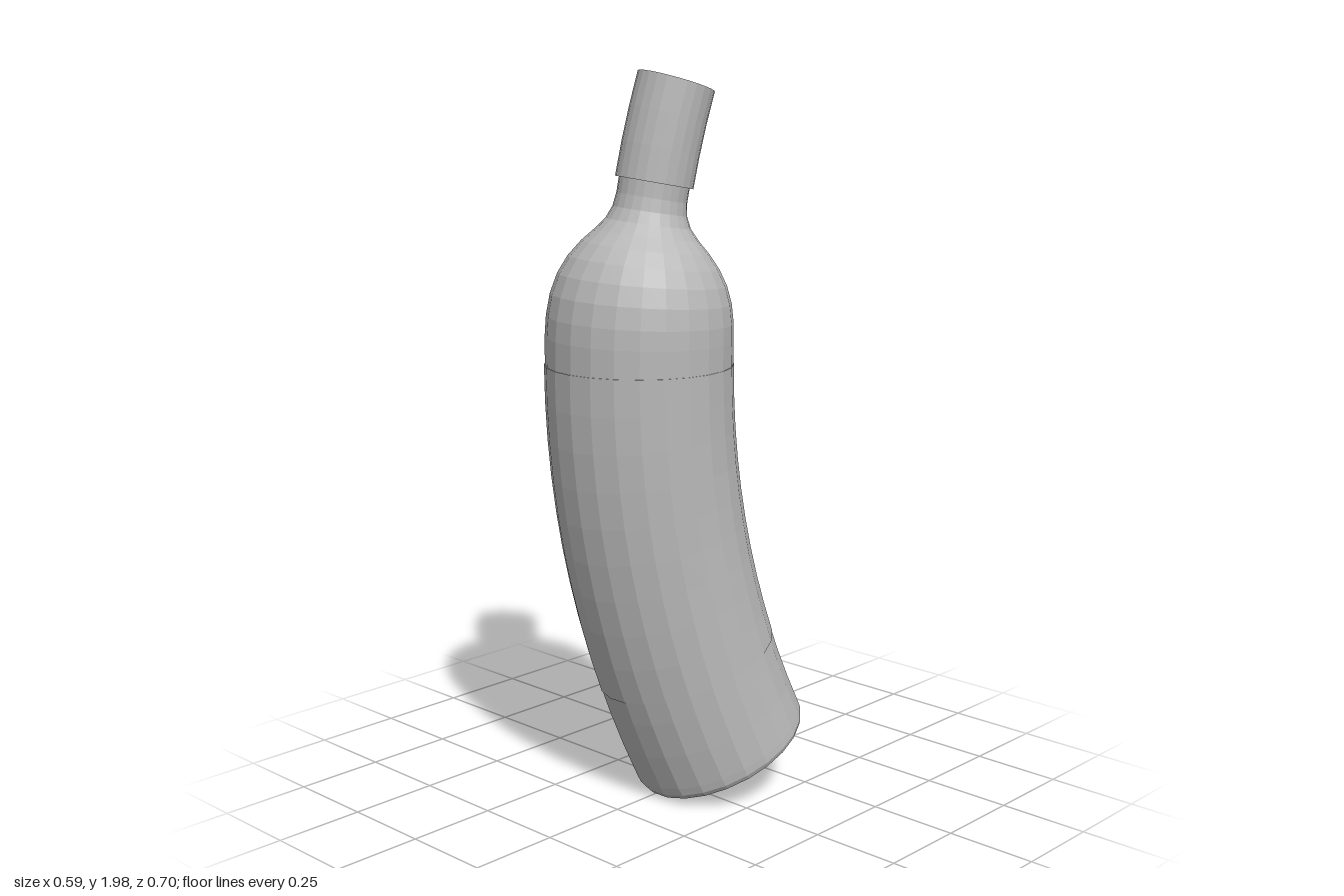
import * as THREE from 'three';

const SIDES = 24;
const R = 2.62;               // bend radius of the spine
const APEX_H = 1.143;         // height along the spine where it is vertical
const APEX_Y = 1.217;         // world height of that point
const DIR = new THREE.Vector2(0.4, -0.917).normalize(); // bend direction in x,z

// Bends an upright geometry along a circular arc
function bend(geometry) {
  const p = geometry.attributes.position;
  for (let i = 0; i < p.count; i++) {
    const x = p.getX(i), z = p.getZ(i);
    const t = (p.getY(i) - APEX_H) / R;
    const a = x * DIR.x + z * DIR.y;
    const b = -x * DIR.y + z * DIR.x;
    const u = -0.12 + R - (R - a) * Math.cos(t);
    p.setXYZ(i, u * DIR.x - b * DIR.y, APEX_Y + (R - a) * Math.sin(t), u * DIR.y + b * DIR.x);
  }
  geometry.computeVertexNormals();
  return geometry;
}

// Straight run of profile points at one radius
function run(r, h0, h1, n) {
  return Array.from({ length: n + 1 }, (_, i) => [r, h0 + (h1 - h0) * i / n]);
}

export function createModel() {
  const group = new THREE.Group();
  const grey = new THREE.MeshStandardMaterial({ color: 0xb8b8b8, flatShading: true });
  grey.name = 'grey';

  function part(name, profile) {
    const pts = profile.map(([r, h]) => new THREE.Vector2(r, h));
    const mesh = new THREE.Mesh(bend(new THREE.LatheGeometry(pts, SIDES)), grey);
    mesh.name = name;
    group.add(mesh);
  }

  // Hollowed base, long body, rounded shoulder and neck
  part('bottle', [
    [0, 0.1], [0.06, 0.096], [0.12, 0.082], [0.17, 0.058], [0.205, 0.028], [0.222, 0.006],
    [0.232, 0], [0.243, 0.004], [0.25, 0.018],
    ...run(0.251, 0.04, 1.22, 12),
    [0.249, 1.27], [0.241, 1.325], [0.225, 1.375], [0.201, 1.42], [0.17, 1.46],
    [0.138, 1.493], [0.113, 1.523], [0.099, 1.555], [0.094, 1.59], [0.094, 1.65],
  ]);

  // Thin band wrapped round the body
  part('label', [[0.25, 0.3], ...run(0.253, 0.3, 1.15, 9), [0.25, 1.15]]);

  // Closed cap sleeve over the neck
  part('cap', [[0.09, 1.63], ...run(0.104, 1.63, 1.898, 3), [0, 1.898]]);

  return group;
}
